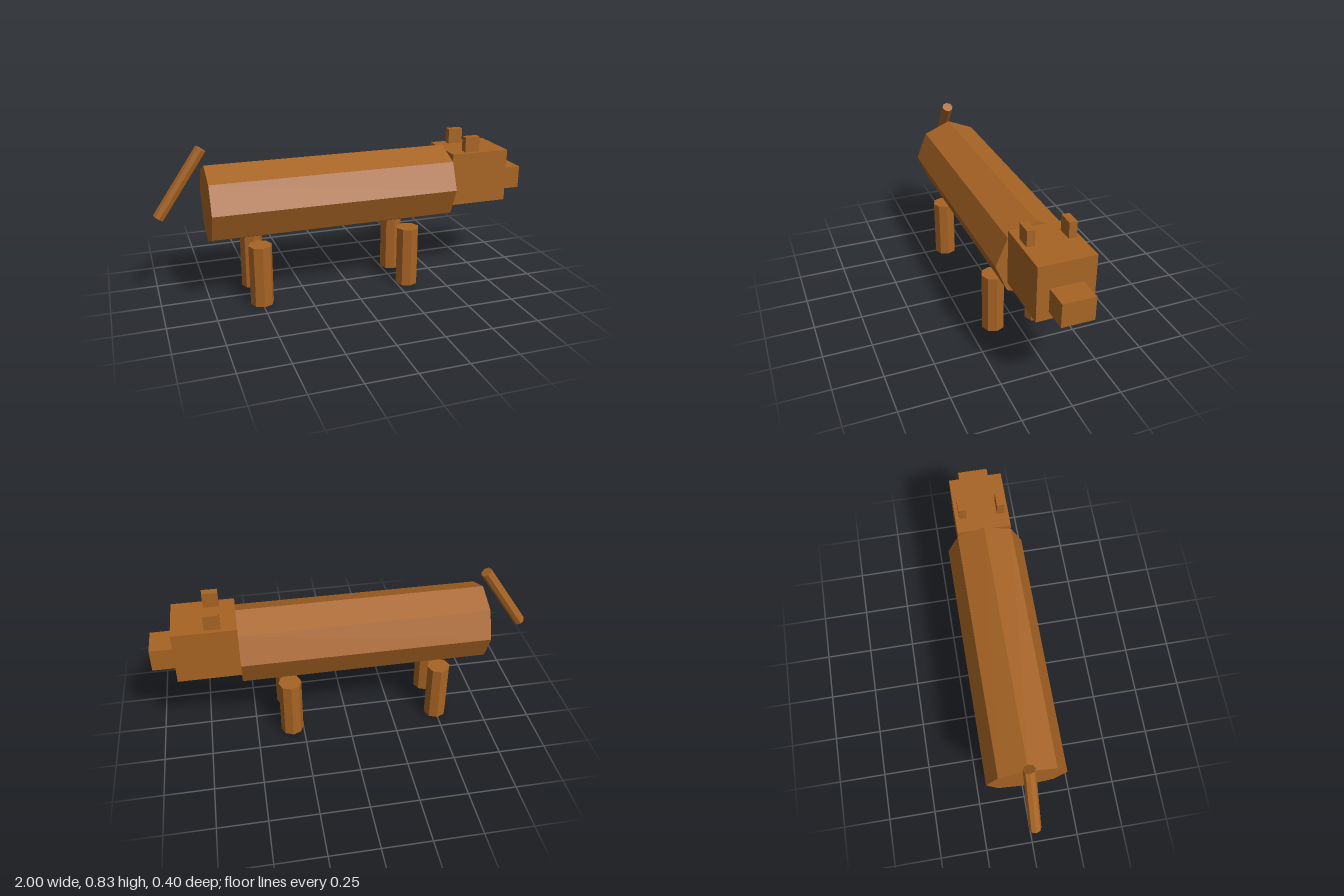
import * as THREE from 'three';

export function createModel() {
  const model = new THREE.Group();
  const brown = new THREE.MeshStandardMaterial({ color: 0xa86424, flatShading: true });
  brown.name = 'brown';

  const add = (name, geometry, x, y, z, tilt = 0) => {
    const mesh = new THREE.Mesh(geometry, brown);
    mesh.name = name;
    mesh.position.set(x, y, z);
    mesh.rotation.z = tilt;
    model.add(mesh);
  };
  const box = (w, h, d) => new THREE.BoxGeometry(w, h, d);
  const rod = (radius, length) => new THREE.CylinderGeometry(radius, radius, length, 8);

  // Long eight-sided body lying along x, with a raised tail behind it
  add('body', rod(0.202, 1.293), -0.093, 0.526, 0, Math.PI / 2);
  add('tail', rod(0.0303, 0.404), -0.861, 0.647, 0, -0.6);

  // Head and snout
  add('head', box(0.323, 0.283, 0.283), 0.715, 0.566, 0);
  add('snout', box(0.122, 0.121, 0.162), 0.937, 0.526, 0);

  // Mirrored ears and legs
  for (const [side, s] of [['left', 1], ['right', -1]]) {
    add(`${side}Ear`, box(0.081, 0.081, 0.04), 0.674, 0.748, s * 0.101);
    add(`${side}FrontLeg`, rod(0.0606, 0.323), 0.311, 0.1615, s * 0.121);
    add(`${side}BackLeg`, rod(0.0606, 0.323), -0.497, 0.1615, s * 0.121);
  }
  return model;
}
